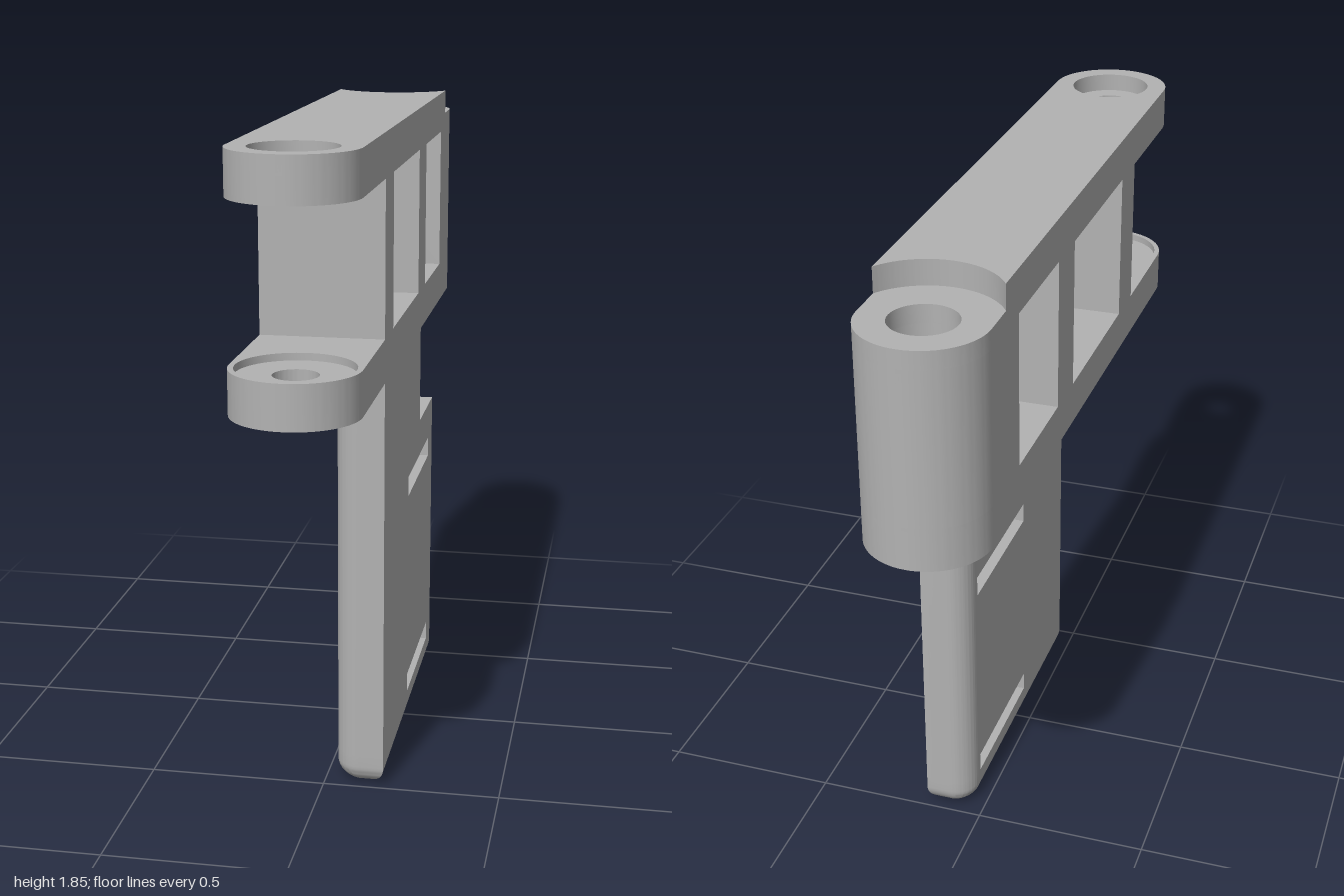
import * as THREE from 'three';
import { mergeGeometries, toCreasedNormals } from 'three/addons/utils/BufferGeometryUtils.js';

const HALF = 0.17;   // half width of the arms
const PIVOT = 0.83;  // distance of both pivots from the centre

// Plan outlines are drawn in (x, -z) and raised from y0 to y1
function slab(shape, y0, y1, steps = 1) {
  const g = new THREE.ExtrudeGeometry(shape, { depth: y1 - y0, steps, bevelEnabled: false, curveSegments: 32 });
  return g.rotateX(-Math.PI / 2).translate(0, y0, 0);
}

function circle(z, r) {
  return new THREE.Path().absarc(0, -z, r, 0, Math.PI * 2, true);
}

function hexagon(z, r) {
  const pts = [];
  for (let i = 0; i < 6; i++) {
    const a = (i * Math.PI) / 3;
    pts.push(new THREE.Vector2(r * Math.cos(a), -z + r * Math.sin(a)));
  }
  return new THREE.Path(pts).closePath();
}

// Round-ended arm; the rear is a barrel or a scooped clearance around it
function armOutline(frontHole, scooped = false) {
  const s = new THREE.Shape();
  if (scooped) {
    const a = Math.acos(HALF / 0.2);
    s.absarc(0, PIVOT, 0.2, -a, -Math.PI + a, true);
  } else {
    s.absarc(0, PIVOT, HALF, 0, Math.PI, false);
    s.holes.push(circle(-PIVOT, 0.09));
  }
  s.absarc(0, -PIVOT, HALF, Math.PI, Math.PI * 2, false);
  s.closePath();
  s.holes.push(frontHole);
  return s;
}

// Plate section from zFront to zBack, optionally rounded on its inner edges
function plateOutline(zFront, zBack, roundFront, roundBack) {
  const x0 = 0.03, x1 = HALF, r = 0.07, s = new THREE.Shape();
  s.moveTo(x1, -zFront);
  s.lineTo(x1, -zBack);
  if (roundBack) s.absarc(x0 + r, -zBack - r, r, Math.PI / 2, Math.PI, false);
  else s.lineTo(x0, -zBack);
  if (roundFront) s.absarc(x0 + r, -zFront + r, r, Math.PI, Math.PI * 1.5, false);
  else s.lineTo(x0, -zFront);
  return s.closePath();
}

export function createModel() {
  const group = new THREE.Group();
  const grey = new THREE.MeshStandardMaterial({ color: 0xb2b2b2 });
  grey.name = 'plain grey';

  function add(name, parts) {
    const g = toCreasedNormals(mergeGeometries(parts), 0.6);
    const mesh = new THREE.Mesh(g, grey);
    mesh.name = name;
    group.add(mesh);
  }

  const bolt = () => circle(PIVOT, 0.06);
  const washer = () => circle(PIVOT, 0.155);

  // Lower arm: nut pocket below, bolt hole, washer recess above
  add('lowerArm', [
    slab(armOutline(hexagon(PIVOT, 0.13)), 1.18, 1.23),
    slab(armOutline(bolt()), 1.23, 1.28),
    slab(armOutline(washer()), 1.28, 1.3),
  ]);

  // Upper arm: washer recess below, bolt hole, counterbore on top
  add('upperArm', [
    slab(armOutline(washer()), 1.725, 1.745),
    slab(armOutline(bolt()), 1.745, 1.775),
    slab(armOutline(bolt(), true), 1.775, 1.795),
    slab(armOutline(circle(PIVOT, 0.115), true), 1.795, 1.845),
  ]);

  // Posts between the arms
  for (const [name, zFront, zBack] of [['frontPost', 0.49, 0.35], ['middlePost', -0.14, -0.285]]) {
    const box = new THREE.BoxGeometry(HALF * 2, 0.425, zFront - zBack).toNonIndexed();
    add(name, [box.translate(0, 1.5125, (zFront + zBack) / 2)]);
  }

  // Hinge barrel with its web
  const barrel = new THREE.Shape();
  barrel.moveTo(-HALF, 0.625);
  barrel.lineTo(HALF, 0.625);
  barrel.absarc(0, PIVOT, HALF, 0, Math.PI, false);
  barrel.closePath();
  barrel.holes.push(circle(-PIVOT, 0.09));
  add('hingeBarrel', [slab(barrel, 1.3, 1.725)]);

  // Hanging plate: stacked sections, split where the strap slots pass through
  const front = 0.49, back = -0.485, r = 0.055;
  const full = () => plateOutline(front, back, true, true);
  const slotted = (y0, y1) => [
    slab(plateOutline(front, 0.03, true, false), y0, y1),
    slab(plateOutline(-0.4, back, false, true), y0, y1),
  ];

  // Rounded foot: inset the section towards the bottom along a quarter circle
  const foot = slab(full(), 0, r, 10);
  const p = foot.attributes.position;
  const cx = 0.1, cz = (front + back) / 2, hz = (front - back) / 2;
  for (let i = 0; i < p.count; i++) {
    const a = (p.getY(i) / r) * Math.PI / 2;
    const inset = r * (1 - Math.sin(a));
    p.setXYZ(i,
      cx + (p.getX(i) - cx) * (0.07 - inset) / 0.07,
      r * (1 - Math.cos(a)),
      cz + (p.getZ(i) - cz) * (hz - inset) / hz);
  }

  add('hangingPlate', [
    foot,
    slab(full(), r, 0.09),
    ...slotted(0.09, 0.147),
    slab(full(), 0.147, 0.72),
    ...slotted(0.72, 0.78),
    slab(full(), 0.78, 0.89),
    slab(plateOutline(front, -0.2, true, false), 0.89, 1.18),
  ]);

  return group;
}
